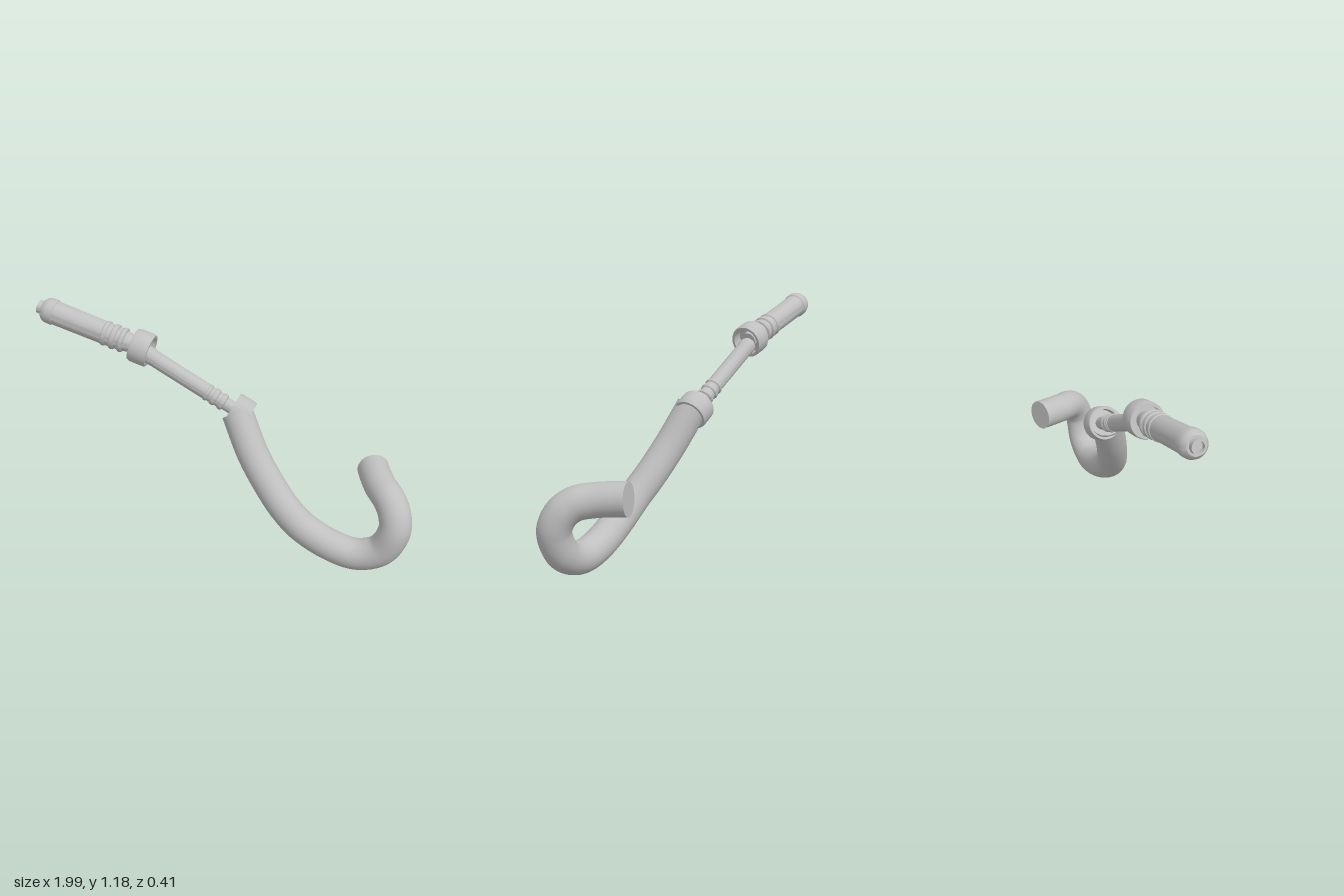
import * as THREE from 'three';
import { toCreasedNormals } from 'three/addons/utils/BufferGeometryUtils.js';

const V = (x, y, z) => new THREE.Vector3(x, y, z);

export function createModel() {
  const group = new THREE.Group();
  const grey = new THREE.MeshStandardMaterial({ color: 0xbfbfbf });
  grey.name = 'grey';

  const add = (name, geometry) => {
    const mesh = new THREE.Mesh(geometry, grey);
    mesh.name = name;
    group.add(mesh);
    return mesh;
  };

  // Turned part: profile of [radius, distance] pairs, running from base along dir
  const turned = (name, profile, base, dir) => {
    const points = profile.map(([r, s]) => new THREE.Vector2(r, s));
    const mesh = add(name, toCreasedNormals(new THREE.LatheGeometry(points, 40), 0.6));
    mesh.position.copy(base);
    mesh.quaternion.setFromUnitVectors(V(0, 1, 0), dir.clone().normalize());
    return mesh;
  };

  const upperJoint = V(-0.44, 0.982, -0.06);
  const lowerJoint = V(0.075, 0.69, -0.06);
  const handleDir = V(-0.961, 0.276, 0);
  const shaftDir = V(-0.88, 0.47, 0);

  // Handle with neck, ridges, flared cap and recessed tip
  turned('handle', [
    [0, -0.02], [0.04, -0.02], [0.045, 0.06], [0.05, 0.075], [0.052, 0.09],
    [0.062, 0.095], [0.065, 0.105], [0.062, 0.115], [0.056, 0.12], [0.056, 0.135],
    [0.064, 0.14], [0.066, 0.15], [0.064, 0.16], [0.058, 0.165], [0.058, 0.185],
    [0.064, 0.19], [0.064, 0.205], [0.059, 0.21], [0.061, 0.48],
    [0.066, 0.485], [0.066, 0.515], [0.06, 0.535], [0.045, 0.55],
    [0.034, 0.55], [0.034, 0.575], [0.024, 0.575], [0.024, 0.555], [0, 0.555],
  ], upperJoint, handleDir);

  // Slim shaft with ridges by the lower joint
  turned('shaft', [
    [0, 0], [0.034, 0], [0.034, 0.09], [0.042, 0.095], [0.045, 0.105],
    [0.042, 0.115], [0.038, 0.12], [0.038, 0.135], [0.044, 0.14], [0.046, 0.15],
    [0.044, 0.16], [0.039, 0.165], [0.039, 0.18], [0.045, 0.185], [0.045, 0.195],
    [0.041, 0.2], [0.042, 0.52], [0.044, 0.525], [0.044, 0.55],
    [0.036, 0.57], [0, 0.575],
  ], lowerJoint, shaftDir);

  // Joint rings with softly bevelled rims
  const ring = [
    [0.07, -0.048], [0.082, -0.048], [0.086, -0.038], [0.087, 0], [0.086, 0.038],
    [0.082, 0.048], [0.07, 0.048], [0.07, -0.048],
  ];
  turned('upperRing', ring, upperJoint, handleDir);
  turned('lowerRing', ring, lowerJoint, shaftDir);

  // Web that joins the handle neck to the upper ring
  turned('upperRingWeb', [[0, -0.005], [0.072, -0.005], [0.072, 0.005], [0, 0.005]],
    upperJoint.clone().addScaledVector(handleDir, 0.015), handleDir);

  // Thick hooked arm
  const path = new THREE.CatmullRomCurve3([
    V(0.065, 0.70, -0.04), V(0.167, 0.513, 0.025), V(0.265, 0.38, 0.07),
    V(0.355, 0.28, 0.105), V(0.45, 0.195, 0.12), V(0.61, 0.108, 0.12),
    V(0.74, 0.084, 0.12), V(0.855, 0.135, 0.12), V(0.912, 0.26, 0.118),
    V(0.897, 0.342, 0.085), V(0.86, 0.385, 0.04), V(0.81, 0.402, -0.03),
    V(0.768, 0.412, -0.12), V(0.747, 0.416, -0.177),
  ], false, 'centripetal');
  const radius = 0.08;
  add('hookArm', new THREE.TubeGeometry(path, 120, radius, 32, false));

  // Flat ends of the arm
  for (const [name, t, sign] of [['armStartCap', 0, -1], ['armEndCap', 1, 1]]) {
    const cap = add(name, new THREE.CircleGeometry(radius, 32));
    cap.position.copy(path.getPointAt(t));
    cap.quaternion.setFromUnitVectors(V(0, 0, 1), path.getTangentAt(t).multiplyScalar(sign));
  }

  return group;
}
